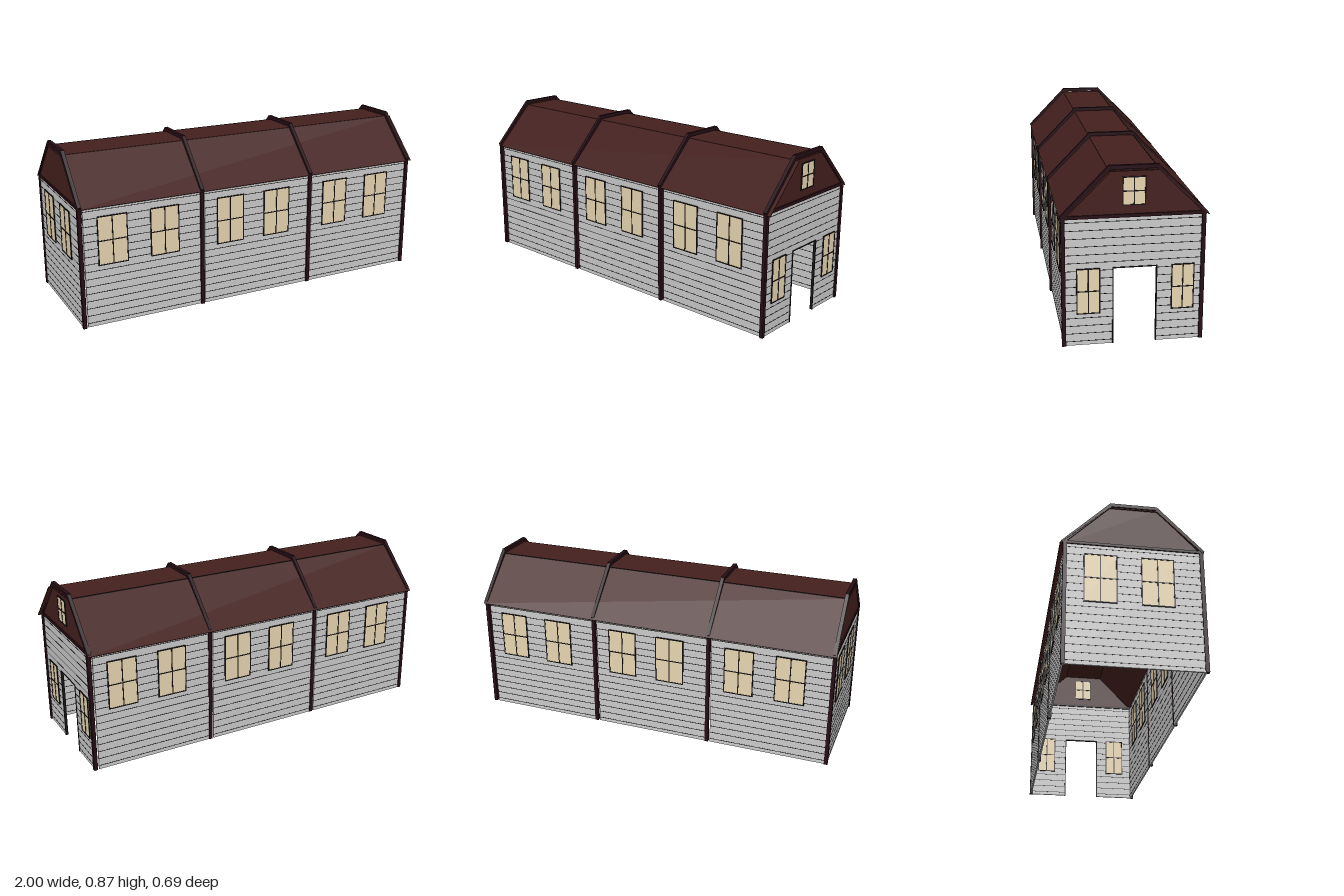
import * as THREE from 'three';

const mat = (color) => new THREE.MeshStandardMaterial({ color, side: THREE.DoubleSide });
const siding = mat(0xcccccc), roofRed = mat(0x44201e), trim = mat(0x260e14);
const glass = mat(0xe8d6b2), ink = mat(0x181414);

const EAVE = 0.62;                         // top of the walls
const POSTS = [-0.985, -0.335, 0.315, 0.97];
const ROOF = [[0.34, 0.62], [0.12, 0.84], [-0.11, 0.84], [-0.345, 0.62]]; // [z, y]

function box(parent, name, material, w, h, d, x, y, z) {
  const mesh = new THREE.Mesh(new THREE.BoxGeometry(w, h, d), material);
  mesh.name = name;
  mesh.position.set(x, y, z);
  parent.add(mesh);
  return mesh;
}

// Beam of square-ish section between two [z, y] points at a given x
function beam(parent, name, x, [z0, y0], [z1, y1], w, t) {
  const len = Math.hypot(z1 - z0, y1 - y0);
  const mesh = box(parent, name, trim, w, t, len + t * 0.6, x, (y0 + y1) / 2, (z0 + z1) / 2);
  mesh.rotation.x = -Math.atan2(y1 - y0, z1 - z0);
}

// Four-pane window spanning x0..x1, y0..y1 on a wall facing +z
function sashWindow(x0, x1, y0, y1) {
  const g = new THREE.Group();
  g.name = 'window';
  const w = x1 - x0, h = y1 - y0, cx = (x0 + x1) / 2, cy = (y0 + y1) / 2, t = 0.005;
  box(g, 'windowPanes', glass, w, h, 0.014, cx, cy, 0);
  for (const x of [x0, cx, x1]) box(g, 'windowUpright', ink, t, h + t, 0.018, x, cy, 0);
  for (const y of [y0, cy, y1]) box(g, 'windowRail', ink, w + t, t, 0.018, cx, y, 0);
  return g;
}

// Boarded wall piece facing +z, with dark joints between the boards
function boards(parent, x0, x1, y0, y1) {
  const w = x1 - x0, cx = (x0 + x1) / 2;
  box(parent, 'wallBoards', siding, w, y1 - y0, 0.008, cx, (y0 + y1) / 2, 0);
  for (let y = 0.02; y < EAVE; y += 0.039) {
    if (y > y0 && y < y1) box(parent, 'boardJoint', ink, w, 0.003, 0.0095, cx, y, 0);
  }
}

// Long wall of three bays, two windows each; offsets measured from each bay's first post
function longWall(name, starts, offsets) {
  const g = new THREE.Group();
  g.name = name;
  for (const s of starts) {
    boards(g, s + 0.018, s + 0.648, 0, EAVE);
    for (const o of offsets) g.add(sashWindow(s + o, s + o + 0.152, 0.32, 0.57));
  }
  return g;
}

// Dark gable filling the end of the roof
function gable() {
  const shape = new THREE.Shape([
    new THREE.Vector2(-0.33, 0.62), new THREE.Vector2(0.33, 0.62),
    new THREE.Vector2(0.115, 0.845), new THREE.Vector2(-0.115, 0.845)]);
  const geo = new THREE.ExtrudeGeometry(shape, { depth: 0.008, bevelEnabled: false });
  const mesh = new THREE.Mesh(geo.translate(0, 0, -0.004), roofRed);
  mesh.name = 'gable';
  return mesh;
}

// End wall with a doorway, two tall windows and a gable window
function doorEnd() {
  const g = new THREE.Group();
  g.name = 'doorEnd';
  const d0 = -0.1, d1 = 0.105, top = 0.38;
  boards(g, -0.325, d0, 0, top);
  boards(g, d1, 0.325, 0, top);
  boards(g, -0.325, 0.325, top, 0.63);
  for (const x of [d0, d1]) box(g, 'doorJamb', ink, 0.005, top, 0.014, x, top / 2, 0);
  box(g, 'doorLintel', ink, d1 - d0, 0.005, 0.014, (d0 + d1) / 2, top, 0);
  g.add(sashWindow(-0.268, -0.162, 0.16, 0.38), sashWindow(0.177, 0.281, 0.16, 0.38));
  g.add(gable(), sashWindow(-0.056, 0.047, 0.68, 0.81));
  box(g, 'gableSill', trim, 0.66, 0.016, 0.02, 0, 0.63, 0);
  return g;
}

// Closed end wall with two windows
function closedEnd() {
  const g = new THREE.Group();
  g.name = 'closedEnd';
  boards(g, -0.325, 0.325, 0, 0.63);
  for (const x of [-0.23, 0.04]) g.add(sashWindow(x, x + 0.152, 0.32, 0.57));
  g.add(gable());
  box(g, 'gableSill', trim, 0.66, 0.014, 0.02, 0, 0.628, 0);
  return g;
}

export function createModel() {
  const model = new THREE.Group();
  model.name = 'longBarn';

  // Walls
  const front = longWall('frontWall', POSTS.slice(0, 3), [0.09, 0.368]);
  front.position.z = 0.325;
  const back = longWall('backWall', POSTS.slice(1).map((x) => -x), [0.09, 0.36]);
  back.rotation.y = Math.PI;
  back.position.z = -0.322;
  const right = doorEnd();
  right.rotation.y = Math.PI / 2;
  right.position.x = 0.968;
  const left = closedEnd();
  left.rotation.y = -Math.PI / 2;
  left.position.x = -0.985;
  model.add(front, back, right, left);

  // Roof: two slopes and a flat top, the front slope reaching a little further
  ROOF.slice(0, 3).forEach(([z0, y0], i) => {
    const [z1, y1] = ROOF[i + 1];
    const x0 = -0.997, x1 = i === 0 ? 0.998 : 0.98;
    const panel = box(model, ['frontSlope', 'flatTop', 'backSlope'][i], roofRed, x1 - x0, 0.004,
      Math.hypot(z1 - z0, y1 - y0), (x0 + x1) / 2, (y0 + y1) / 2, (z0 + z1) / 2);
    panel.rotation.x = -Math.atan2(y0 - y1, z0 - z1);
  });
  box(model, 'roofCrease', ink, 1.975, 0.004, 0.005, -0.01, 0.841, -0.11);

  // Posts and the roof ribs above them
  const rib = [[0.335, 0.632], [0.117, 0.857], [-0.103, 0.857], [-0.33, 0.63]];
  for (const x of POSTS) {
    for (const z of [0.33, -0.321]) box(model, 'post', trim, 0.019, 0.635, 0.019, x, 0.3175, z);
    for (let i = 0; i < 3; i++) beam(model, 'roofRib', x, rib[i + 1], rib[i], 0.019, 0.018);
  }
  return model;
}
